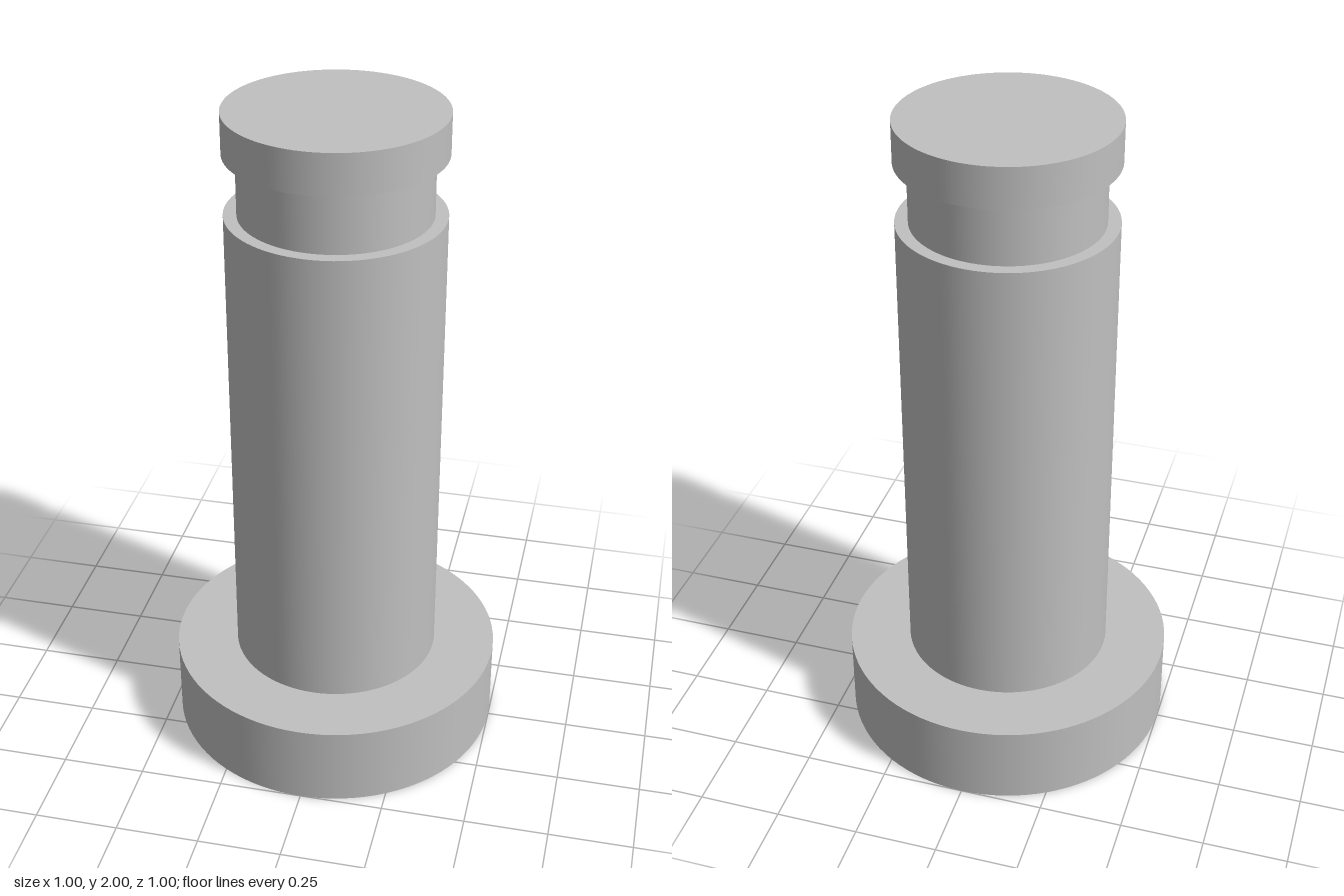
import * as THREE from 'three';

export function createModel() {
  const group = new THREE.Group();
  group.name = 'headedPin';
  const steel = new THREE.MeshStandardMaterial({ color: 0xc0c0c0 });
  steel.name = 'steelGrey';

  // Coaxial turned section between two heights
  function section(name, radius, bottom, top, open = false) {
    const geometry = new THREE.CylinderGeometry(radius, radius, top - bottom, 96, 1, open);
    const mesh = new THREE.Mesh(geometry, steel);
    mesh.name = name;
    mesh.position.y = (bottom + top) / 2;
    group.add(mesh);
  }

  section('head', 0.5, 0, 0.25);
  section('shank', 0.3125, 0.25, 1.7);
  section('retainingGroove', 0.275, 1.7, 1.88, true); // ends are closed by its neighbours
  section('endCollar', 0.3125, 1.88, 2);

  return group;
}
